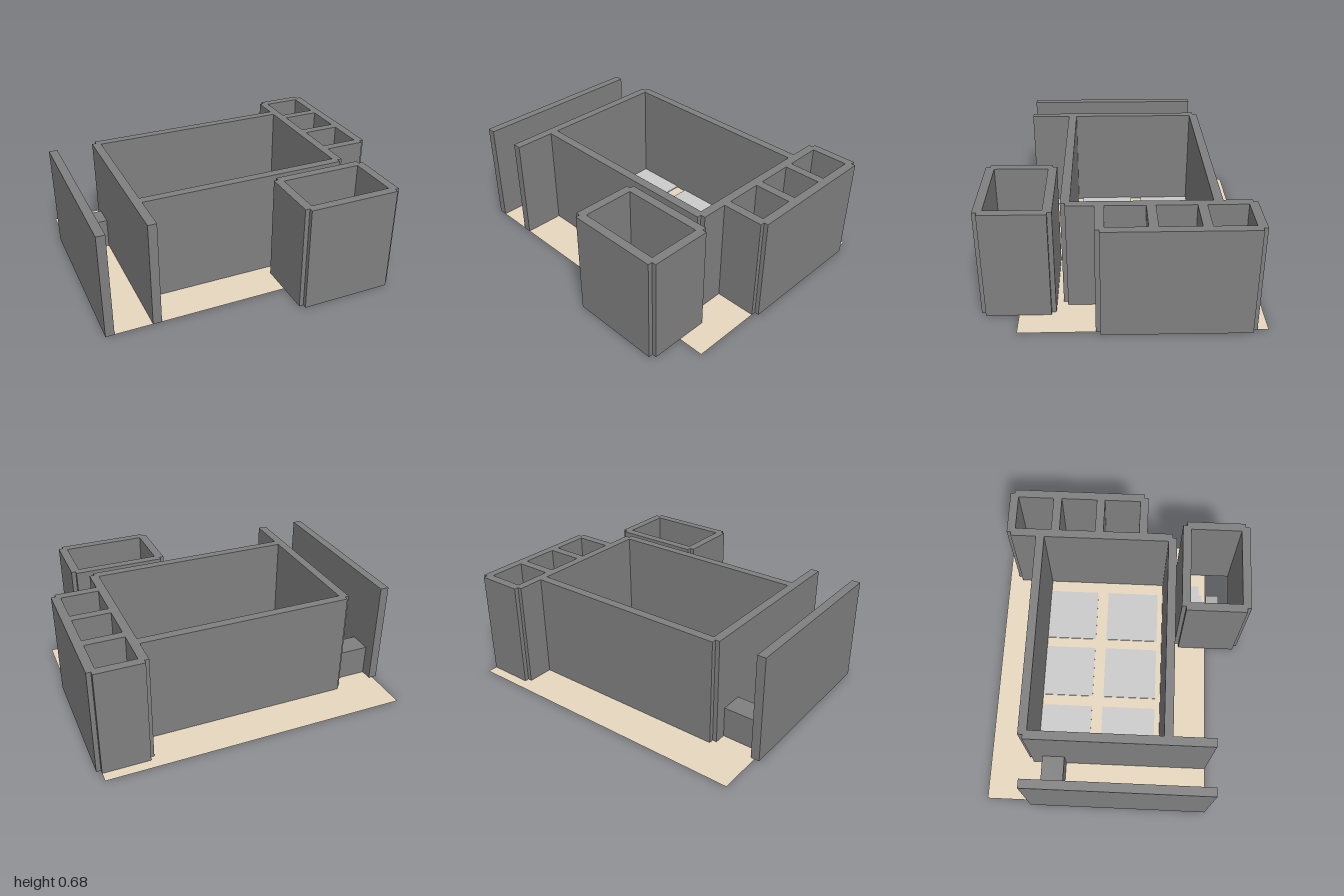
import * as THREE from 'three';

const WALL_HEIGHT = 0.68;
const T = 0.055; // wall thickness

export function createModel() {
  const group = new THREE.Group();
  const material = (color) => new THREE.MeshStandardMaterial({ color });
  const wallMat = material(0x808080);
  const slabMat = material(0xcccccc);
  const darkSlabMat = material(0xadadad);
  const groundMat = material(0xe8d8c0);
  groundMat.side = THREE.DoubleSide;

  // box given by its plan extents, standing on y
  function block(name, x0, x1, z0, z1, height, mat, y = 0) {
    const mesh = new THREE.Mesh(new THREE.BoxGeometry(x1 - x0, height, z1 - z0), mat);
    mesh.position.set((x0 + x1) / 2, y + height / 2, (z0 + z1) / 2);
    mesh.name = name;
    group.add(mesh);
  }
  // walls run between centre lines, leaving small notches at the corners
  const wallX = (name, x0, x1, z) => block(name, x0, x1, z - T / 2, z + T / 2, WALL_HEIGHT, wallMat);
  const wallZ = (name, x, z0, z1) => block(name, x - T / 2, x + T / 2, z0, z1, WALL_HEIGHT, wallMat);

  // ground sheet
  const ground = new THREE.Mesh(new THREE.PlaneGeometry(1.94, 1.45), groundMat);
  ground.rotation.x = -Math.PI / 2;
  ground.position.set(0, 0.001, -0.115);
  ground.name = 'ground';
  group.add(ground);

  // side passage with its low block
  wallZ('passageOuterWall', -0.972, -0.55, 0.61);
  wallZ('passageInnerWall', -0.681, -0.55, 0.61);
  block('passageStep', -0.945, -0.708, -0.475, -0.33, 0.2, wallMat);

  // main hall
  wallX('hallBackWall', -0.681, 0.678, -0.552);
  wallX('hallFrontWall', -0.681, 0.675, 0.323);
  wallZ('hallSideWall', 0.678, -0.747, 0.323);

  // row of three small rooms
  wallZ('roomsOuterWall', 0.97, -0.747, 0.128);
  const dividers = [-0.747, -0.455, -0.164, 0.128];
  dividers.forEach((z) => wallX('roomDivider', 0.678, 0.97, z));

  // separate front booth
  for (const x of [0.193, 0.775]) wallZ('boothSideWall', x, 0.418, 0.806);
  for (const z of [0.418, 0.806]) wallX('boothCrossWall', 0.193, 0.775, z);

  // thin floor slabs
  const slab = (name, x0, x1, z0, z1, mat = slabMat) => block(name, x0, x1, z0, z1, 0.008, mat, 0.002);
  for (const [x0, x1] of [[-0.654, -0.305], [-0.23, 0.13], [0.2, 0.566]])
    for (const [z0, z1] of [[-0.525, -0.178], [-0.103, 0.26]]) slab('hallSlab', x0, x1, z0, z1);
  for (let i = 0; i < 3; i++)
    slab('roomSlab', 0.705, 0.942, dividers[i] + T / 2, dividers[i + 1] - T / 2);
  slab('boothSlab', 0.22, 0.577, 0.445, 0.585);
  slab('boothSlabEnd', 0.577, 0.65, 0.47, 0.56);
  slab('boothBench', 0.22, 0.577, 0.614, 0.707, darkSlabMat);

  return group;
}
